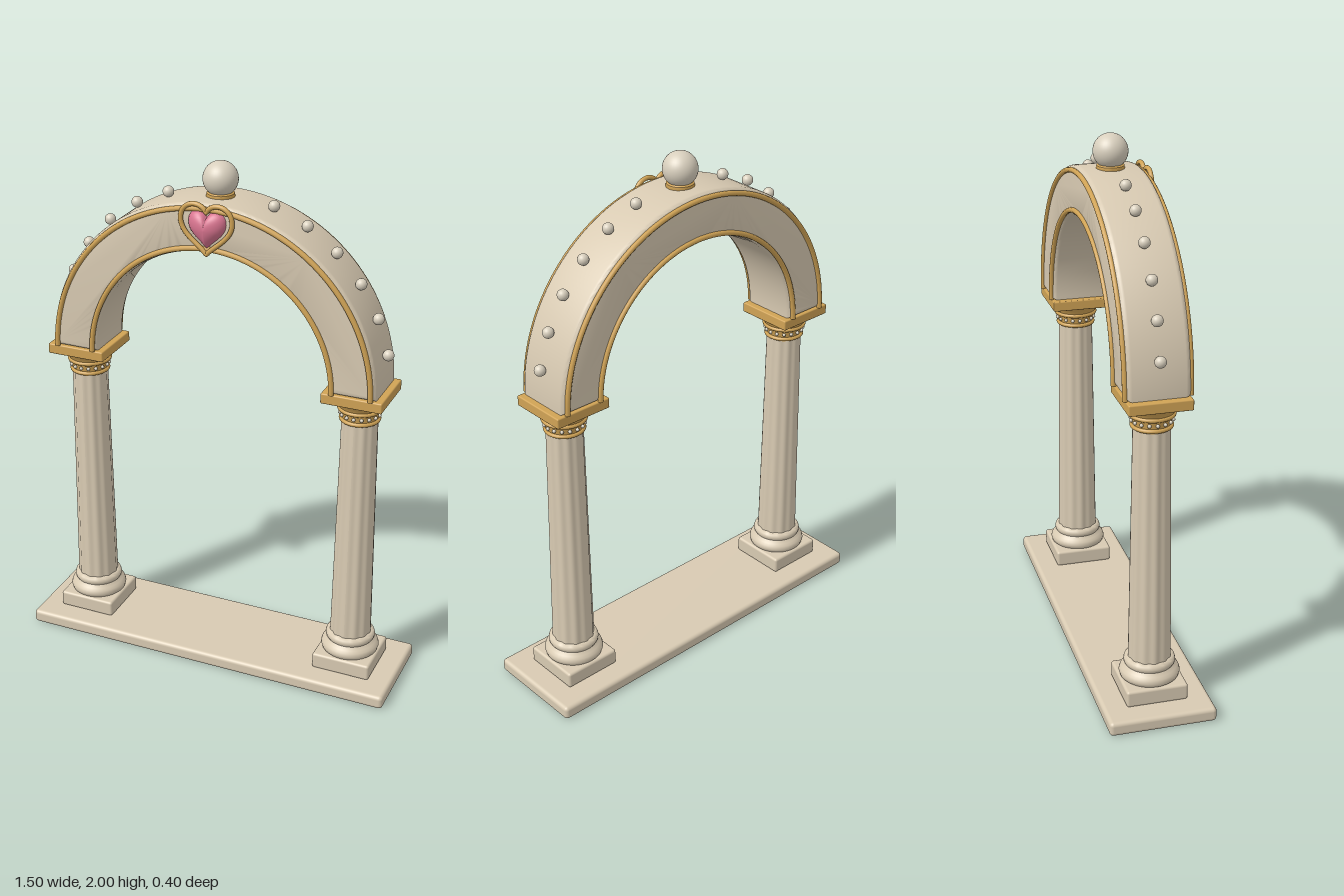
import * as THREE from 'three';
import { toCreasedNormals } from 'three/addons/utils/BufferGeometryUtils.js';
import { RoundedBoxGeometry } from 'three/addons/geometries/RoundedBoxGeometry.js';

const ARCH_Y = 1.235;

function material(name, color) {
  const m = new THREE.MeshStandardMaterial({ color });
  m.name = name;
  return m;
}

function add(parent, name, geometry, mat, x = 0, y = 0, z = 0) {
  const mesh = new THREE.Mesh(geometry, mat);
  mesh.name = name;
  mesh.position.set(x, y, z);
  parent.add(mesh);
  return mesh;
}

function lathe(points, segments = 40) {
  const g = new THREE.LatheGeometry(points.map(([r, y]) => new THREE.Vector2(r, y)), segments);
  return toCreasedNormals(g, 0.7);
}

// Tapered shaft with shallow rounded flutes
function flutedShaft(bottom, top, height) {
  const g = new THREE.CylinderGeometry(1, 1, height, 96, 8, true);
  const p = g.attributes.position;
  for (let i = 0; i < p.count; i++) {
    const t = p.getY(i) / height + 0.5;
    const a = Math.atan2(p.getX(i), p.getZ(i));
    const r = (bottom + (top - bottom) * t) * (1 - 0.05 * Math.pow(Math.sin(a * 6), 2));
    p.setXYZ(i, Math.sin(a) * r, p.getY(i), Math.cos(a) * r);
  }
  g.computeVertexNormals();
  return g;
}

// Heart outline, lobes up, as a curved shape
function heartShape(w, top, dip, bottom) {
  const s = new THREE.Shape();
  s.moveTo(0, bottom);
  s.bezierCurveTo(w * 0.3, bottom * 0.62, w, bottom * 0.3, w, top * 0.35);
  s.bezierCurveTo(w, top * 1.15, w * 0.2, top * 1.25, 0, dip);
  s.bezierCurveTo(-w * 0.2, top * 1.25, -w, top * 1.15, -w, top * 0.35);
  s.bezierCurveTo(-w, bottom * 0.3, -w * 0.3, bottom * 0.62, 0, bottom);
  return s;
}

// Domed gem: heart-shaped rings shrinking towards the crown
function heartGem(shape, depth) {
  const outline = shape.getPoints(14).slice(0, -1);
  const n = outline.length, rings = 8, pos = [], index = [];
  for (let k = 0; k <= rings; k++) {
    const a = (k / rings) * Math.PI / 2;
    for (const q of outline) pos.push(q.x * Math.cos(a), q.y * Math.cos(a), depth * Math.sin(a));
  }
  for (let k = 0; k < rings; k++) {
    for (let i = 0; i < n; i++) {
      const a = k * n + i, b = k * n + (i + 1) % n;
      index.push(a, b, b + n, a, b + n, a + n);
    }
  }
  const g = new THREE.BufferGeometry();
  g.setAttribute('position', new THREE.Float32BufferAttribute(pos, 3));
  g.setIndex(index);
  g.computeVertexNormals();
  return g;
}

function buildColumn(x, stone, gold, pearl) {
  const column = new THREE.Group();
  column.name = x > 0 ? 'leftColumn' : 'rightColumn';
  column.position.x = x;
  add(column, 'plinth', new RoundedBoxGeometry(0.23, 0.064, 0.23, 3, 0.01), stone, 0, 0.086);
  add(column, 'columnBase', lathe([
    [0, 0.115], [0.1, 0.115], [0.108, 0.122], [0.112, 0.135], [0.108, 0.148], [0.1, 0.156],
    [0.094, 0.163], [0.09, 0.168], [0.094, 0.175], [0.095, 0.183], [0.092, 0.192], [0.085, 0.198], [0.07, 0.2],
  ]), stone);
  add(column, 'shaft', flutedShaft(0.08, 0.068, 0.93), stone, 0, 0.655);
  // Flared capital with bands, a ring of pearls and a square top slab
  add(column, 'capital', lathe([
    [0.066, 1.1], [0.069, 1.12], [0.072, 1.14], [0.078, 1.16], [0.088, 1.18], [0.102, 1.197], [0, 1.197],
  ]), gold);
  for (const [r, y] of [[0.069, 1.111], [0.077, 1.154]]) {
    const band = add(column, 'capitalBand', new THREE.TorusGeometry(r, 0.008, 10, 40), gold, 0, y);
    band.rotation.x = Math.PI / 2;
  }
  for (let i = 0; i < 16; i++) {
    const a = i * Math.PI / 8;
    add(column, 'capitalPearl', new THREE.SphereGeometry(0.007, 10, 8), pearl,
      Math.sin(a) * 0.074, 1.132, Math.cos(a) * 0.074);
  }
  add(column, 'topSlab', new RoundedBoxGeometry(0.23, 0.04, 0.23, 2, 0.005), gold, 0, 1.214);
  return column;
}

function buildArch(stone, gold, pearl) {
  const arch = new THREE.Group();
  arch.name = 'arch';
  arch.position.y = ARCH_Y;

  // Half ring with softened edges
  const ring = new THREE.Shape();
  ring.absarc(0, 0, 0.64, 0, Math.PI, false);
  ring.absarc(0, 0, 0.46, Math.PI, 0, true);
  const body = new THREE.ExtrudeGeometry(ring, {
    depth: 0.19, curveSegments: 56, bevelEnabled: true,
    bevelSize: 0.02, bevelThickness: 0.02, bevelOffset: -0.02, bevelSegments: 4,
  });
  body.translate(0, 0, -0.095);
  add(arch, 'archBody', toCreasedNormals(body, 0.6), stone);

  // Gold trims along both edges of both faces
  for (const z of [-0.116, 0.116]) {
    for (const r of [0.622, 0.476]) {
      add(arch, 'archTrim', new THREE.TorusGeometry(r, 0.01, 10, 72, Math.PI), gold, 0, 0, z);
    }
  }

  // Pearls every 12 degrees, with a gap for the finial
  for (let i = 1; i <= 6; i++) {
    const a = i * Math.PI / 15;
    for (const s of [-1, 1]) {
      add(arch, 'archPearl', new THREE.SphereGeometry(0.021, 20, 14), pearl,
        s * Math.cos(a) * 0.659, Math.sin(a) * 0.659, 0);
    }
  }
  return arch;
}

export function createModel() {
  const model = new THREE.Group();
  model.name = 'archway';
  const stone = material('stone', 0xd8cab2);
  const gold = material('gold', 0xd0a355);
  const pearl = material('pearl', 0xd8cfbd);
  const pink = material('pinkGem', 0xd8748f);

  add(model, 'baseSlab', new RoundedBoxGeometry(1.5, 0.054, 0.4, 4, 0.015), stone, 0, 0.027);
  for (const x of [-0.55, 0.55]) model.add(buildColumn(x, stone, gold, pearl));
  model.add(buildArch(stone, gold, pearl));

  // Finial ball on a gold collar
  add(model, 'finialCollar', lathe([
    [0, 1.86], [0.046, 1.86], [0.052, 1.873], [0.05, 1.885], [0.04, 1.893], [0, 1.893],
  ]), gold);
  add(model, 'finialBall', new THREE.SphereGeometry(0.064, 36, 24), pearl, 0, 1.936);

  // Heart ornament on the keystone
  const heart = new THREE.Group();
  heart.name = 'heartOrnament';
  heart.position.set(0, 1.79, 0.112);
  add(heart, 'heartGem', heartGem(heartShape(0.072, 0.06, 0.04, -0.075), 0.043), pink);
  const path = new THREE.CatmullRomCurve3(
    heartShape(0.098, 0.082, 0.058, -0.095).getSpacedPoints(60).slice(0, -1)
      .map((p) => new THREE.Vector3(p.x, p.y, 0.014)), true);
  add(heart, 'heartFrame', new THREE.TubeGeometry(path, 120, 0.009, 10, true), gold);
  model.add(heart);
  return model;
}
